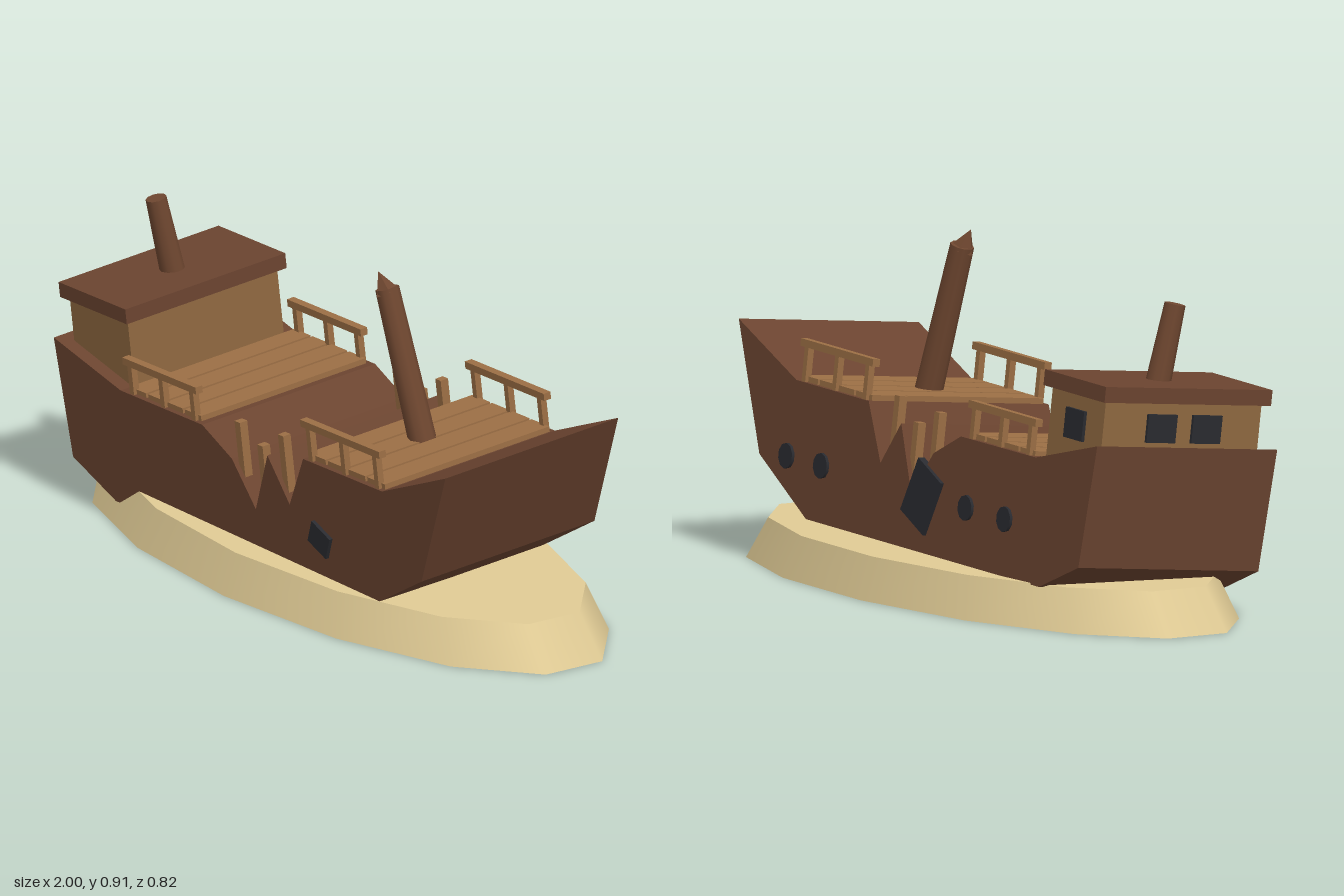
import * as THREE from 'three';

const mat = (color, flatShading = false) => new THREE.MeshStandardMaterial({ color, flatShading });
const HULL = mat(0x6b4430), PLANK = mat(0x9c6f45), CABIN = mat(0x8f6840),
  SAND = mat(0xe0cb95), DARK = mat(0x2a2b30), MAST = mat(0x6f4730), SPIKE = mat(0x6f4730, true);

function add(parent, name, geometry, material, x, y, z) {
  const mesh = new THREE.Mesh(geometry, material);
  mesh.name = name;
  mesh.position.set(x, y, z);
  parent.add(mesh);
  return mesh;
}
const box = (parent, name, material, [w, h, d], [x, y, z]) =>
  add(parent, name, new THREE.BoxGeometry(w, h, d), material, x, y, z);

// Tapered pole between two points
function pole(parent, name, material, a, b, r0, r1, sides) {
  const from = new THREE.Vector3(...a), dir = new THREE.Vector3(...b).sub(from);
  const mid = from.clone().addScaledVector(dir, 0.5);
  const mesh = add(parent, name, new THREE.CylinderGeometry(r1, r0, dir.length(), sides), material, mid.x, mid.y, mid.z);
  mesh.quaternion.setFromUnitVectors(new THREE.Vector3(0, 1, 0), dir.normalize());
  return mesh;
}

// Planked deck with a railing along both sides
function deck(parent, name, x0, x1, y, railTop) {
  const group = new THREE.Group();
  group.name = name;
  parent.add(group);
  const step = (x1 - x0) / 4, mid = (x0 + x1) / 2, length = x1 - x0;
  for (let i = 0; i < 4; i++)
    box(group, 'deckPlank', PLANK, [step - 0.01, 0.02, 0.535], [x0 + step * (i + 0.5), y + 0.005, 0]);
  for (const side of [-1, 1]) {
    box(group, 'handrail', PLANK, [length, 0.02, 0.022], [mid, railTop - 0.01, side * 0.268]);
    for (const t of [-0.42, 0, 0.42])
      box(group, 'railPost', PLANK, [0.018, railTop - y, 0.018], [mid + t * length, (railTop + y) / 2 - 0.01, side * 0.268]);
  }
}

export function createModel() {
  const model = new THREE.Group();
  model.name = 'shipwreck';

  // Sand mound
  const mound = add(model, 'sandMound', new THREE.CylinderGeometry(0.934, 1.026, 0.113, 14), SAND, 0, 0.0565, 0);
  mound.scale.z = 0.4;

  // Ship, rolled towards the front and pitched slightly up at the bow
  const ship = new THREE.Group();
  ship.name = 'ship';
  ship.rotation.set(0.097, 0, 0.03);
  model.add(ship);

  // Hull with its broken middle
  const profile = [
    [-0.65, 0.1], [0.493, 0.1], [0.746, 0.234], [0.908, 0.567], [0.604, 0.452], [0.249, 0.452],
    [0.164, 0.301], [0.083, 0.419], [0.003, 0.246], [-0.085, 0.366], [-0.208, 0.43],
    [-0.575, 0.432], [-0.863, 0.507], [-0.83, 0.179],
  ];
  const hull = new THREE.ExtrudeGeometry(
    new THREE.Shape(profile.map(([x, y]) => new THREE.Vector2(x, y))), { depth: 0.562, bevelEnabled: false });
  add(ship, 'hull', hull, HULL, 0, 0, -0.281);

  deck(ship, 'aftDeck', -0.555, -0.225, 0.43, 0.53);
  deck(ship, 'foreDeck', 0.25, 0.605, 0.452, 0.563);

  // Broken ribs standing in the gap: x, top, height
  for (const [x, top, h] of [[-0.062, 0.472, 0.19], [0.033, 0.43, 0.17], [0.135, 0.485, 0.2]])
    for (const side of [-1, 1])
      box(ship, 'brokenRib', PLANK, [0.024, h, 0.024], [x, top - h / 2, side * 0.256]);

  // Cabin, roof and windows
  box(ship, 'cabin', CABIN, [0.26, 0.2, 0.486], [-0.695, 0.525, 0]);
  box(ship, 'cabinRoof', HULL, [0.3, 0.042, 0.52], [-0.695, 0.641, 0]);
  for (const z of [-0.065, 0.075])
    box(ship, 'sternWindow', DARK, [0.012, 0.075, 0.09], [-0.828, 0.552, z]);
  box(ship, 'sideWindow', DARK, [0.09, 0.08, 0.012], [-0.695, 0.54, -0.246]);

  // Funnel on the roof, and the snapped mast with its splintered tip
  pole(ship, 'funnel', MAST, [-0.69, 0.64, 0], [-0.7, 0.865, 0.024], 0.034, 0.028, 10);
  pole(ship, 'mast', MAST, [0.405, 0.43, 0], [0.302, 0.862, -0.003], 0.038, 0.032, 10);
  pole(ship, 'mastSplinter', SPIKE, [0.303, 0.85, 0], [0.283, 0.907, 0.007], 0.034, 0, 5);

  // Portholes along the back
  for (const x of [-0.46, -0.27, 0.44, 0.61])
    add(ship, 'porthole', new THREE.CylinderGeometry(0.034, 0.034, 0.016, 10), DARK, x, 0.25, -0.281)
      .rotation.x = Math.PI / 2;

  // Holes torn in the sides
  box(ship, 'frontHole', DARK, [0.083, 0.067, 0.02], [0.297, 0.238, 0.281]).rotation.z = -0.42;
  box(ship, 'backHole', DARK, [0.13, 0.16, 0.02], [-0.058, 0.247, -0.281]).rotation.z = 0.4;

  return model;
}
